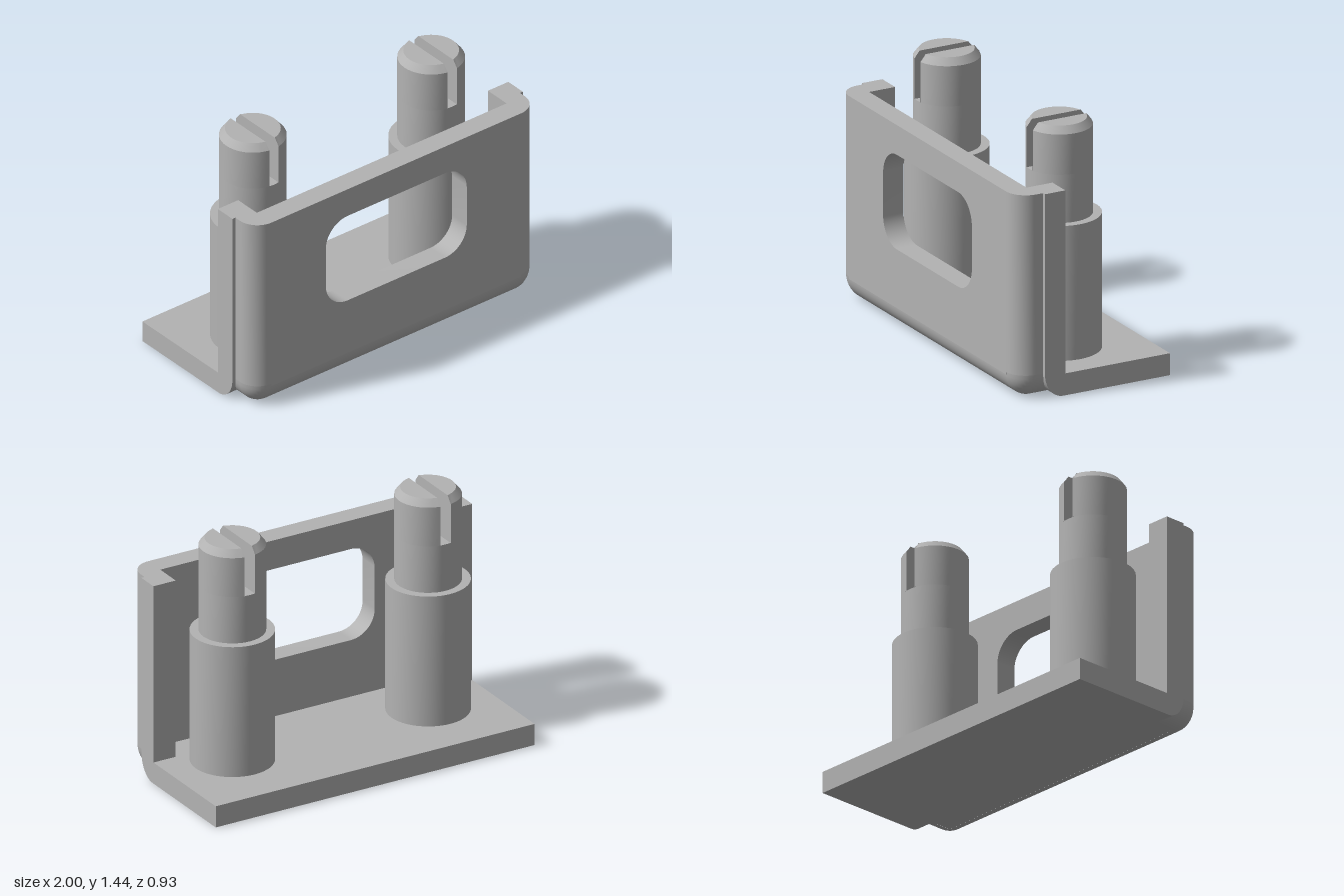
import * as THREE from 'three';
import { toCreasedNormals } from 'three/addons/utils/BufferGeometryUtils.js';

const TOP = 1.17, FRONT = 0.465, FLOOR = 0.125, EDGE = 0.12, BEND = 0.14;

export function createModel() {
  const model = new THREE.Group();
  const grey = new THREE.MeshStandardMaterial({ color: 0xb3b3b3 });

  const add = (geometry, name, parent = model, crease = true) => {
    const mesh = new THREE.Mesh(crease ? toCreasedNormals(geometry, 0.5) : geometry, grey);
    mesh.name = name;
    parent.add(mesh);
    return mesh;
  };

  // Floor plate between the two side flanges
  add(new THREE.BoxGeometry(1.72, FLOOR, 0.81), 'floorPlate').position.set(0, FLOOR / 2, -0.06);

  // Front wall with a rounded window
  const wall = new THREE.Shape([[-0.86, FLOOR], [0.86, FLOOR], [0.86, TOP], [-0.86, TOP]]
    .map(p => new THREE.Vector2(...p)));
  const w = 0.485, b = 0.46, t = 1.0, r = 0.15;
  const hole = new THREE.Path();
  hole.absarc(w - r, t - r, r, 0, Math.PI / 2);
  hole.absarc(-w + r, t - r, r, Math.PI / 2, Math.PI);
  hole.absarc(-w + r, b + r, r, Math.PI, Math.PI * 1.5);
  hole.absarc(w - r, b + r, r, Math.PI * 1.5, Math.PI * 2);
  hole.closePath();
  wall.holes.push(hole);
  add(new THREE.ExtrudeGeometry(wall, { depth: 0.125, bevelEnabled: false, curveSegments: 12 })
    .translate(0, 0, FRONT - 0.125), 'frontWall');

  // Rounded lower edge running along the front and both sides
  const positions = [], index = [], levels = 10, arcSteps = 10;
  let count = 0;
  for (let k = 0; k <= levels; k++) {
    const a = (k / levels) * Math.PI / 2;
    const radius = Math.max(EDGE * Math.sin(a), 0.0005);
    const y = BEND * (1 - Math.cos(a));
    const half = [];
    for (let i = 0; i <= arcSteps; i++) {
      const q = (i / arcSteps) * Math.PI / 2;
      half.push([0.86 + radius * Math.sin(q), FRONT - EDGE + radius * Math.cos(q)]);
    }
    half.push([0.86 + radius, 0.19]);
    const ring = [...half.map(([x, z]) => [-x, z]).reverse(), ...half];
    count = ring.length;
    ring.forEach(([x, z]) => positions.push(x, y, z));
  }
  for (let k = 0; k < levels; k++) {
    for (let i = 0; i < count - 1; i++) {
      const p = k * count + i, q = p + count;
      index.push(p, p + 1, q, p + 1, q + 1, q);
    }
  }
  const lip = new THREE.BufferGeometry();
  lip.setAttribute('position', new THREE.Float32BufferAttribute(positions, 3));
  lip.setIndex(index);
  lip.computeVertexNormals();
  add(lip, 'roundedLowerEdge', model, false);

  for (const s of [1, -1]) {
    const side = s > 0 ? 'left' : 'right';

    // Side flange: strip of floor bending up into a post
    const profile = new THREE.Shape();
    profile.moveTo(-FRONT, 0);
    profile.lineTo(0.19, 0);
    profile.absellipse(0.19, BEND, 0.115, BEND, -Math.PI / 2, 0);
    profile.lineTo(0.305, TOP);
    profile.lineTo(0.18, TOP);
    profile.lineTo(0.18, FLOOR);
    profile.lineTo(-FRONT, FLOOR);
    profile.closePath();
    add(new THREE.ExtrudeGeometry(profile, { depth: 0.14, bevelEnabled: false, curveSegments: 12 })
      .rotateY(-Math.PI / 2).translate(s > 0 ? 1 : -0.86, 0, 0), side + 'Flange');

    // Rounded vertical corner of the front wall
    const corner = [[0.86, 0.305]];
    for (let i = 0; i <= 12; i++) {
      const q = (i / 12) * Math.PI / 2;
      corner.push([0.86 + EDGE * Math.cos(q), FRONT - EDGE + EDGE * Math.sin(q)]);
    }
    corner.splice(1, 0, [0.98, 0.305]);
    const cornerShape = new THREE.Shape(corner.map(([x, z]) => new THREE.Vector2(s * x, z)));
    add(new THREE.ExtrudeGeometry(cornerShape, { depth: TOP - BEND, bevelEnabled: false })
      .rotateX(Math.PI / 2).translate(0, TOP, 0), side + 'Corner');

    // Stepped pin with a slotted, chamfered tip
    const pin = new THREE.Group();
    pin.name = side + 'Pin';
    pin.position.x = s * 0.614;
    model.add(pin);
    const cylinder = (rTop, rBottom, y0, y1) =>
      new THREE.CylinderGeometry(rTop, rBottom, y1 - y0, 48).translate(0, (y0 + y1) / 2, 0);
    add(cylinder(0.23, 0.23, FLOOR, 0.895), 'pinBase', pin);
    add(cylinder(0.182, 0.182, 0.895, TOP), 'pinShaft', pin);
    for (const turn of [0, Math.PI]) {
      for (const [rTop, y0, y1, name] of [[0.182, TOP, 1.4, 'pinProng'], [0.15, 1.4, 1.44, 'pinChamfer']]) {
        const half = cylinder(rTop, 0.182, y0, y1);
        const pos = half.attributes.position;
        for (let i = 0; i < pos.count; i++) pos.setX(i, Math.max(pos.getX(i), 0.032));
        add(half.rotateY(turn), name, pin);
      }
    }
  }
  return model;
}
